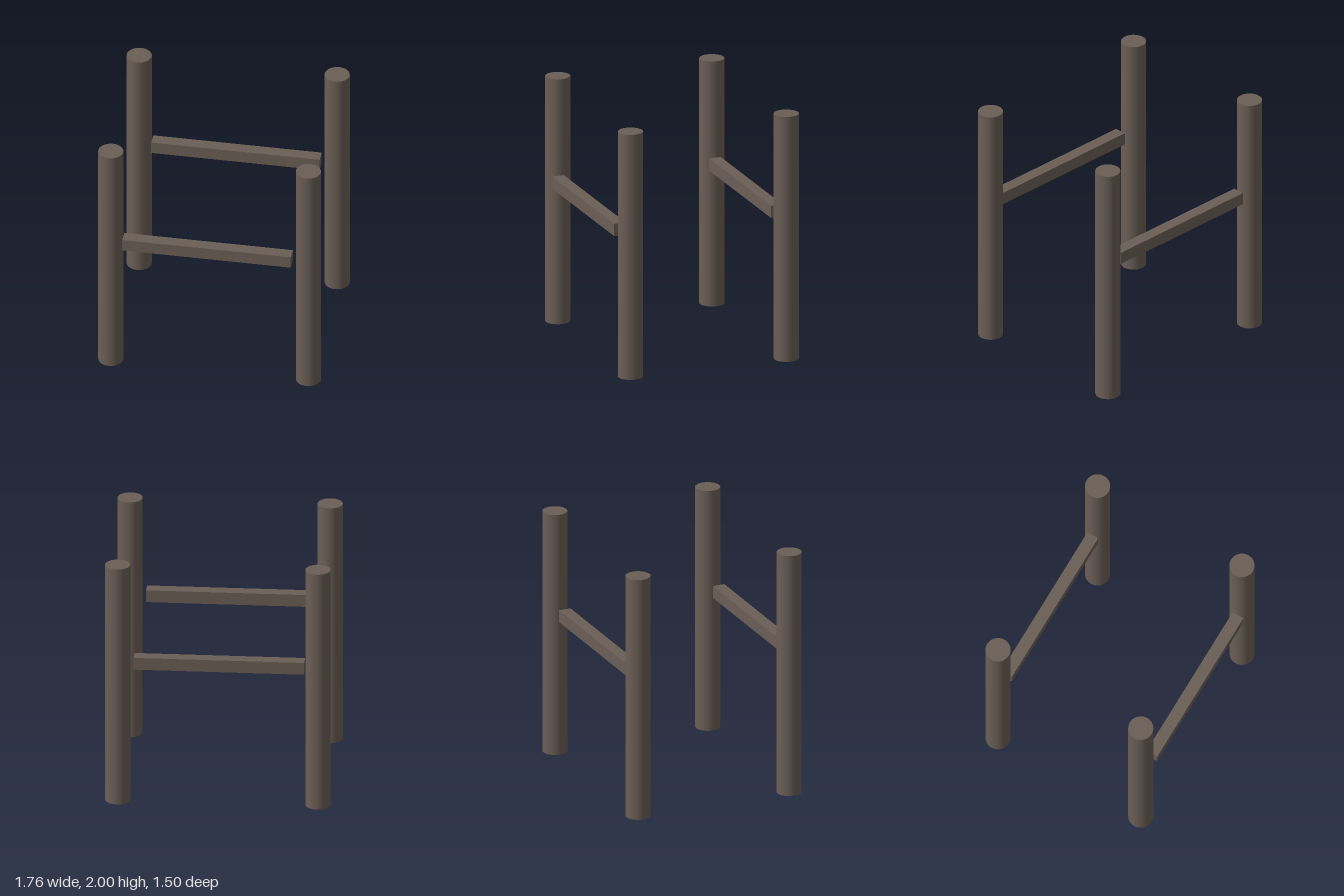
import * as THREE from 'three';

export function createModel() {
  const model = new THREE.Group();
  const darkWood = new THREE.MeshStandardMaterial({ color: 0x6b5f56 });

  const add = (name, geometry, x, y, z) => {
    const mesh = new THREE.Mesh(geometry, darkWood);
    mesh.name = name;
    mesh.position.set(x, y, z);
    model.add(mesh);
  };

  // Four round upright posts; the back right one stands slightly forward
  const post = new THREE.CylinderGeometry(0.098, 0.098, 2, 48);
  add('frontLeftPost', post, 0.782, 1, 0.652);
  add('frontRightPost', post, -0.782, 1, 0.652);
  add('backLeftPost', post, 0.782, 1, -0.652);
  add('backRightPost', post, -0.782, 1, -0.637);

  // Square rails between the posts, front and back
  const rail = new THREE.BoxGeometry(1.333, 0.1, 0.097);
  add('frontRail', rail, -0.01, 1.167, 0.69);
  add('backRail', rail, -0.01, 1.167, -0.622);

  return model;
}
